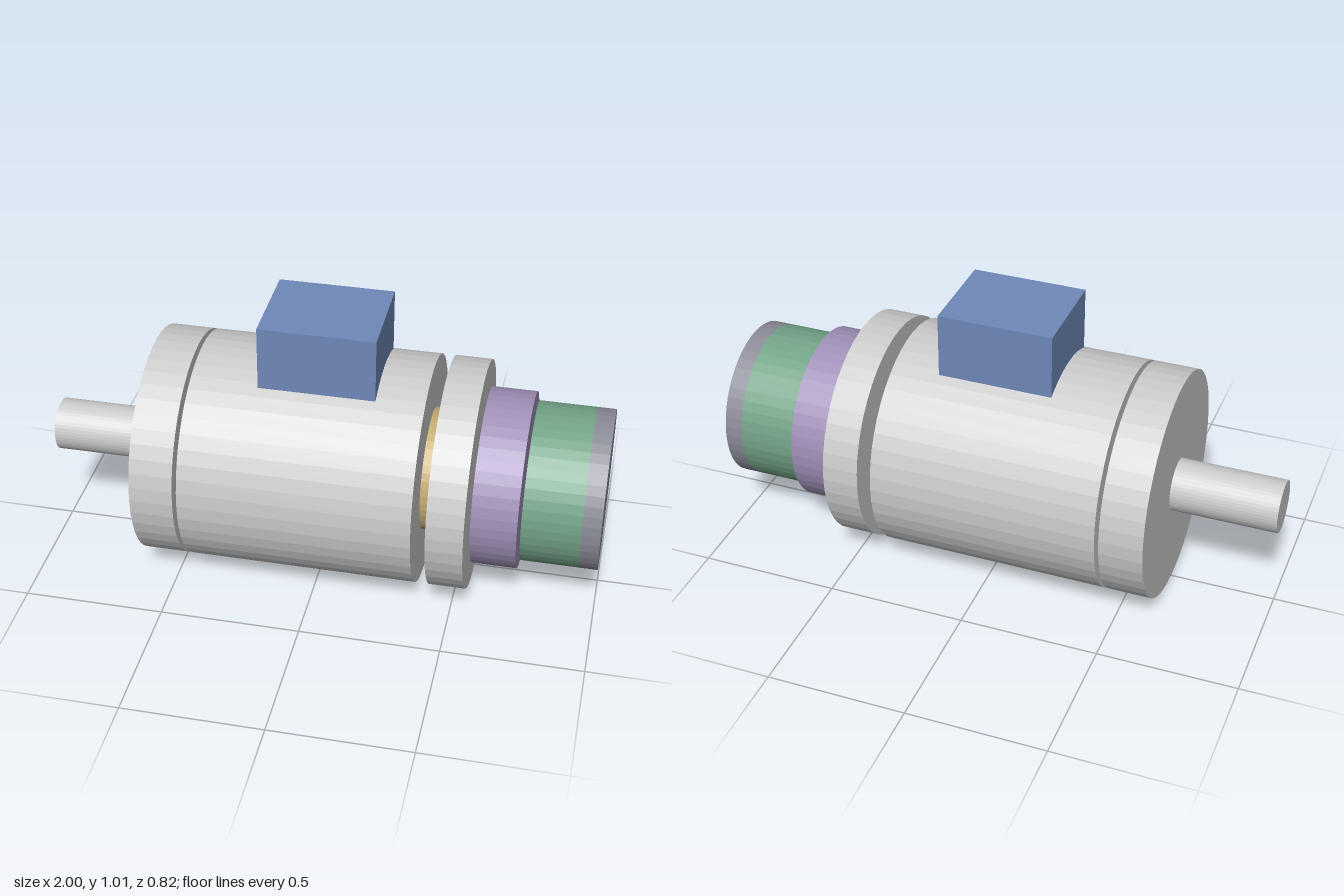
import * as THREE from 'three';

const AXIS_Y = 0.41;
const SIDES = 48;

const material = (color) => new THREE.MeshStandardMaterial({ color, flatShading: true });

export function createModel() {
  const group = new THREE.Group();
  const grey = material(0xcccccc);
  const gold = material(0xc4ab72);
  const purple = material(0xa090b8);
  const green = material(0x74a488);
  const darkGrey = material(0x8c8c98);
  const blue = material(0x6f88b8);

  // Solid disc or drum lying along the x axis, from x0 to x1
  function drum(name, x0, x1, radius, mat) {
    const geometry = new THREE.CylinderGeometry(radius, radius, x1 - x0, SIDES);
    geometry.rotateZ(-Math.PI / 2);
    const mesh = new THREE.Mesh(geometry, mat);
    mesh.name = name;
    mesh.position.set((x0 + x1) / 2, AXIS_Y, 0);
    group.add(mesh);
  }

  // Shaft running through the whole machine
  drum('shaft', -1, 0.8, 0.094, grey);

  // Housing with an end shield on each side
  drum('driveEndShield', -0.62, -0.465, 0.41, grey);
  drum('housing', -0.45, 0.37, 0.41, grey);
  drum('rearEndShield', 0.42, 0.55, 0.41, grey);

  // Bearings showing in the gaps beside the housing
  drum('driveBearing', -0.5, -0.42, 0.22, gold);
  drum('rearBearing', 0.35, 0.425, 0.22, gold);

  // Brake, encoder and end cap stacked behind the rear shield
  drum('brake', 0.56, 0.72, 0.315, purple);
  drum('encoder', 0.73, 0.935, 0.284, green);
  drum('endCap', 0.935, 1, 0.284, darkGrey);

  // Terminal box set into the top of the housing
  const box = new THREE.Mesh(new THREE.BoxGeometry(0.41, 0.235, 0.345), blue);
  box.name = 'terminalBox';
  box.position.set(-0.005, 1.015 - 0.1175, 0);
  group.add(box);

  return group;
}
